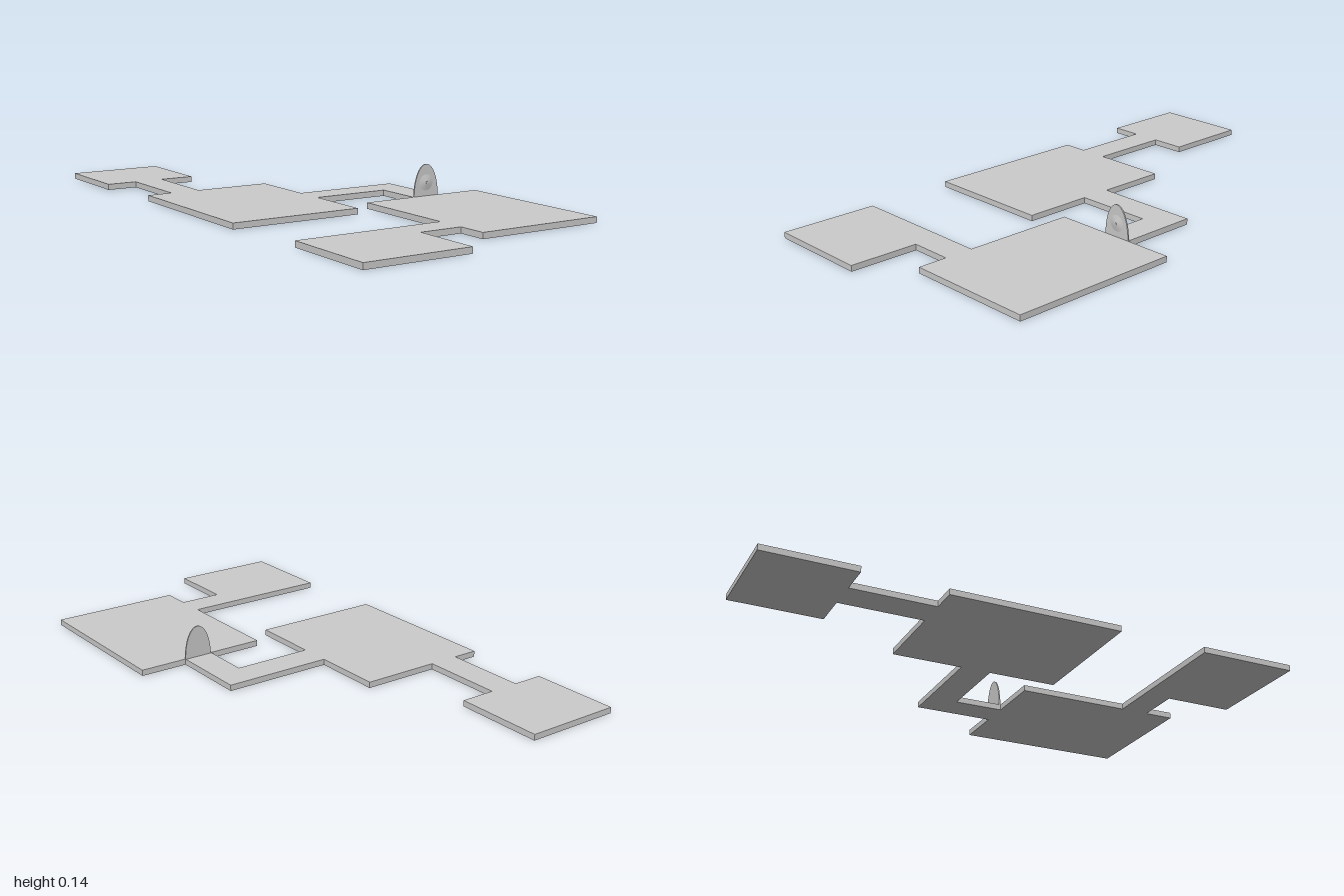
import * as THREE from 'three';

const THICK = 0.022;

export function createModel() {
  const group = new THREE.Group();
  const mat = new THREE.MeshStandardMaterial({ color: 0xcccccc });

  const add = (name, geo) => {
    const mesh = new THREE.Mesh(geo, mat);
    mesh.name = name;
    group.add(mesh);
    return mesh;
  };

  // Floor slabs: name, x from/to, z from/to
  const slabs = [
    ['backRoom', -0.555, -0.195, -1, -0.667],
    ['backCorridor', -0.44, -0.327, -0.667, -0.357],
    ['middleRoom', -0.535, -0.037, -0.357, 0.282],
    ['sideCorridor', -0.037, 0.37, -0.092, 0.022],
    ['doorCorridor', 0.26, 0.37, 0.022, 0.208],
    ['frontRoom', 0.053, 0.55, 0.208, 0.85],
    ['frontCorridor', -0.11, 0.053, 0.632, 0.74],
    ['cornerRoom', -0.513, -0.11, 0.632, 1],
  ];
  for (const [name, x0, x1, z0, z1] of slabs) {
    add(name, new THREE.BoxGeometry(x1 - x0, THICK, z1 - z0))
      .position.set((x0 + x1) / 2, THICK / 2, (z0 + z1) / 2);
  }

  // Arched door: half-ellipse panel
  const arch = new THREE.Shape();
  arch.absellipse(0, 0, 0.054, 0.118, 0, Math.PI, false, 0);
  arch.closePath();
  const panel = new THREE.ExtrudeGeometry(arch, { depth: 0.005, bevelEnabled: false, curveSegments: 32 });
  add('door', panel).position.set(0.317, THICK, 0.204);

  // Shallow conical boss with a small knob in the middle
  const boss = new THREE.CylinderGeometry(0.005, 0.03, 0.005, 32).rotateX(Math.PI / 2);
  add('doorBoss', boss).position.set(0.317, 0.072, 0.2115);
  const knob = new THREE.CylinderGeometry(0.005, 0.005, 0.003, 16).rotateX(Math.PI / 2);
  add('doorKnob', knob).position.set(0.317, 0.072, 0.2145);

  return group;
}
